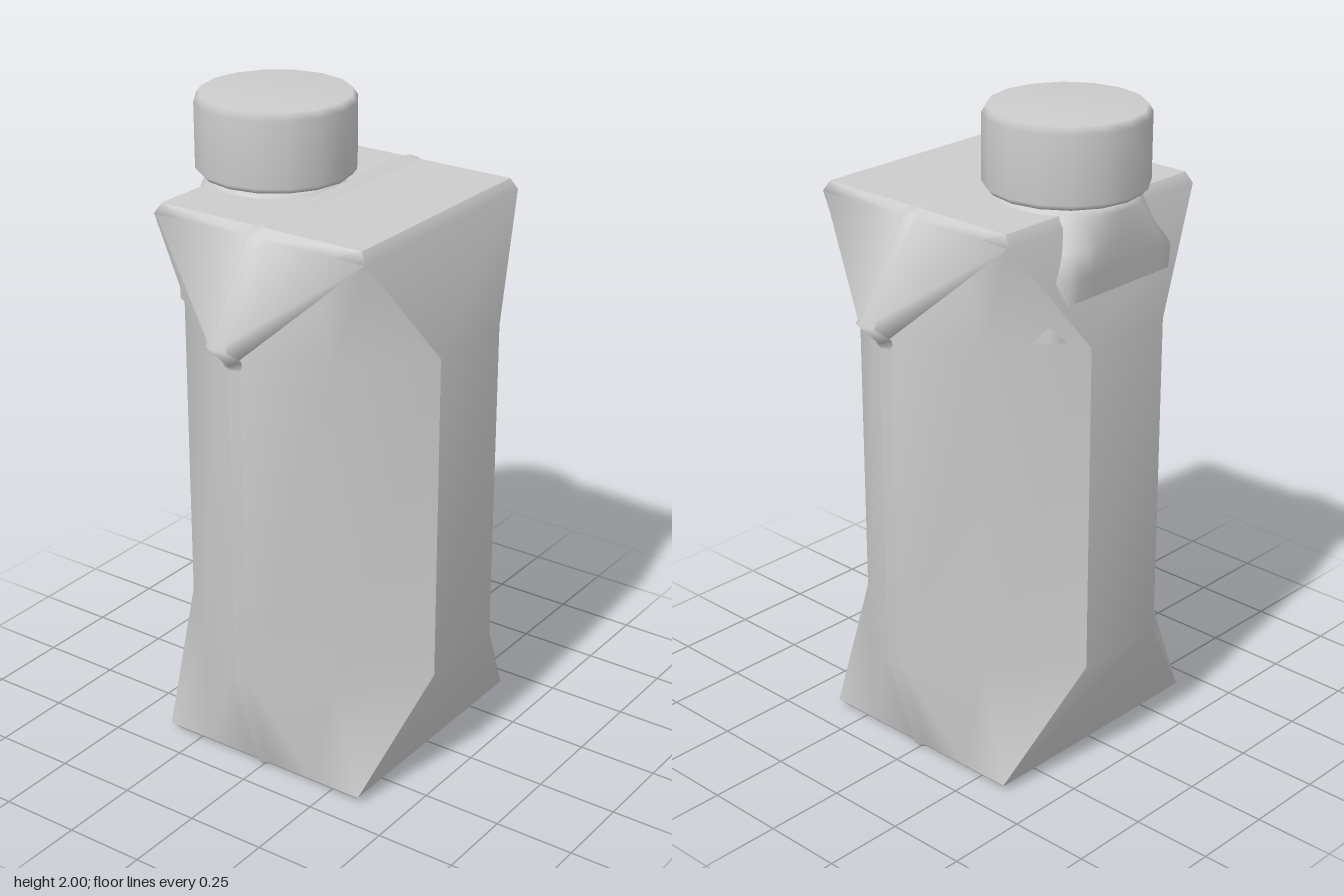
import * as THREE from 'three';
import { mergeVertices } from 'three/addons/utils/BufferGeometryUtils.js';

const V = (x, y, z) => new THREE.Vector3(x, y, z);

// Smooth surface through rows of points, each quad split along its shorter diagonal
function grid(rows) {
  const n = rows[0].length, points = rows.flat(), index = [];
  for (let i = 0; i < rows.length - 1; i++) {
    for (let j = 0; j < n - 1; j++) {
      const a = i * n + j, b = a + n, c = a + 1, d = b + 1;
      const split = points[a].distanceTo(points[d]) < points[b].distanceTo(points[c]);
      if (split) index.push(a, b, d, a, d, c);
      else index.push(a, b, c, b, d, c);
    }
  }
  const raw = new THREE.BufferGeometry().setFromPoints(points);
  raw.setIndex(index);
  const geo = mergeVertices(raw);
  geo.computeVertexNormals();
  return geo;
}

// Row of points mirrored left to right, from [x, z] pairs at one height
const mirrorRow = (y, half) => [
  ...half.map(([x, z]) => V(x, y, z)),
  ...half.map(([x, z]) => V(-x, y, z)).reverse(),
];

export function createModel() {
  const model = new THREE.Group();
  model.name = 'carton';
  const grey = new THREE.MeshStandardMaterial({ color: 0xcccccc });
  grey.name = 'light grey';
  const add = (name, geo) => {
    const mesh = new THREE.Mesh(geo, grey);
    mesh.name = name;
    model.add(mesh);
    return mesh;
  };

  // Body levels: height, then [x, z] at the corner, bulge and middle
  const levels = [
    [0, [0.338, 0.385], [0.18, 0.385], [0.04, 0.385]],
    [0.022, [0.358, 0.405], [0.19, 0.405], [0.04, 0.406]],
    [0.36, [0.459, 0.155], [0.245, 0.372], [0.04, 0.511]],
    [1.38, [0.459, 0.155], [0.245, 0.372], [0.04, 0.511]],
    [1.71, [0.366, 0.39], [0.19, 0.4], [0.04, 0.405]],
    [1.742, [0.345, 0.38], [0.18, 0.38], [0.04, 0.38]],
  ];
  const panel = grid(levels.map(([y, ...half]) => mirrorRow(y, half)));
  const side = grid(levels.map(([y, [x, z]]) => [V(x, y, -z), V(x, y, z)]));
  add('frontPanel', panel);
  add('backPanel', panel).rotation.y = Math.PI;
  add('leftSide', side);
  add('rightSide', side).rotation.y = Math.PI;

  // Flat top and base
  add('top', new THREE.PlaneGeometry(0.69, 0.76).rotateX(-Math.PI / 2).translate(0, 1.742, 0));
  add('base', new THREE.PlaneGeometry(0.676, 0.77).rotateX(Math.PI / 2));

  // Folded triangular flaps: outer x, y, z, then middle x, y, z for each row
  const flap = grid([
    [0.363, 1.71, 0.388, 0.018, 1.5, 0.4],
    [0.363, 1.71, 0.388, 0.018, 1.385, 0.52],
    [0.363, 1.71, 0.388, 0.008, 1.447, 0.594],
    [0.363, 1.71, 0.388, 0.018, 1.72, 0.412],
    [0.343, 1.742, 0.38, 0.018, 1.742, 0.38],
  ].map(([x, y, z, xm, ym, zm]) => [V(x, y, z), V(xm, ym, zm), V(-xm, ym, zm), V(-x, y, z)]));
  add('frontFlap', flap);
  add('backFlap', flap).rotation.y = Math.PI;

  // Raised seam up the back, over the top and down the front: z, y, depth of its edges
  const half = [[0.37, 1.743, 0.003], [0.41, 1.722, 0.005], [0.594, 1.447, 0.012],
    [0.522, 1.385, 0.01], [0.512, 1.36, 0.005], [0.512, 0.36, 0.005],
    [0.406, 0.022, 0.005], [0.388, 0.004, 0.005]];
  const path = [...half.map(([z, y, e]) => [-z, y, e]).reverse(), ...half];
  const seam = path.map(([z, y, edge], i) => {
    const p = path[Math.max(i - 1, 0)], q = path[Math.min(i + 1, path.length - 1)];
    const len = Math.hypot(q[0] - p[0], q[1] - p[1]);
    const nz = -(q[1] - p[1]) / len, ny = (q[0] - p[0]) / len;
    const at = (x, d) => V(x, Math.max(0, y + ny * d), z + nz * d);
    return [at(-0.035, -edge), at(0, 0.011), at(0.035, -edge)];
  });
  add('seam', grid(seam));

  // Spout skirt that flares through the side wall, flattened on its outer side
  const lathe = (pts, n) => new THREE.LatheGeometry(pts.map(([r, y]) => new THREE.Vector2(r, y)), n);
  const skirt = lathe([[0.305, 1.4], [0.305, 1.58], [0.255, 1.65], [0.215, 1.735],
    [0.195, 1.753], [0.17, 1.757], [0, 1.757]], 32);
  const pos = skirt.attributes.position;
  for (let i = 0; i < pos.count; i++) {
    const x = pos.getX(i), y = pos.getY(i);
    pos.setX(i, Math.max(x, y < 1.5 ? -0.19 : -0.207));
  }
  skirt.computeVertexNormals();
  add('spoutSkirt', skirt).position.x = -0.222;
  add('neck', lathe([[0.19, 1.74], [0.19, 1.785]], 16)).position.x = -0.222;

  // Screw cap with softened rims
  add('cap', lathe([[0, 1.763], [0.225, 1.763], [0.24, 1.78], [0.24, 1.978], [0.226, 2], [0, 2]], 16))
    .position.x = -0.222;

  return model;
}
